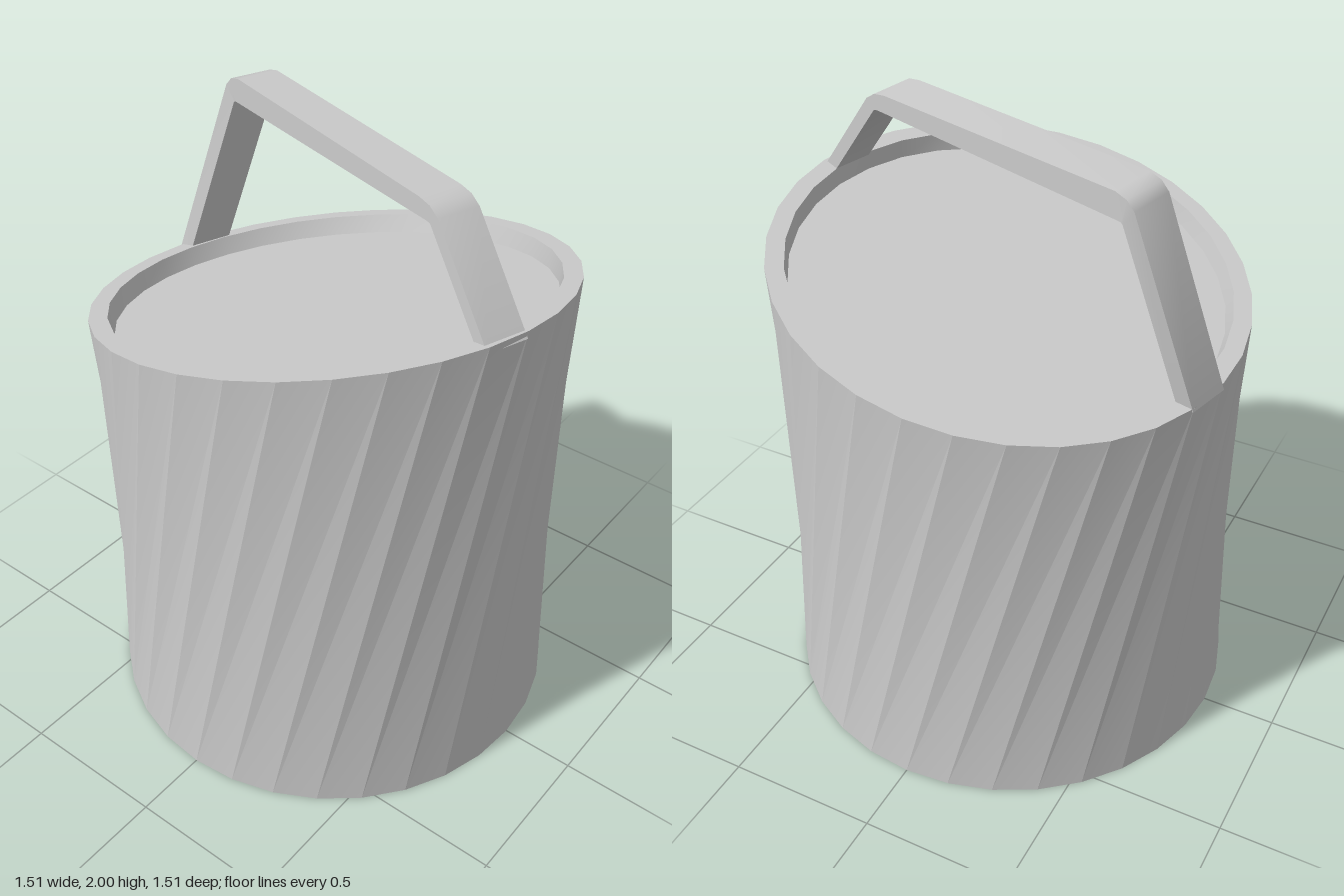
import * as THREE from 'three';
import { toCreasedNormals } from 'three/addons/utils/BufferGeometryUtils.js';

const V = (x, y, z) => new THREE.Vector3(x, y, z);

// Skin a closed surface over rings of equal point count, with fan caps.
function loft(rings) {
  const n = rings[0].length;
  const pos = [];
  const tri = (...pts) => pts.forEach((p) => pos.push(p.x, p.y, p.z));
  for (let i = 0; i < rings.length - 1; i++) {
    const lo = rings[i], hi = rings[i + 1];
    for (let j = 0; j < n; j++) {
      const k = (j + 1) % n;
      tri(lo[j], lo[k], hi[k]);
      tri(lo[j], hi[k], hi[j]);
    }
  }
  const first = rings[0], last = rings[rings.length - 1];
  for (let j = 1; j < n - 1; j++) {
    tri(first[0], first[j + 1], first[j]);
    tri(last[0], last[j], last[j + 1]);
  }
  const geo = new THREE.BufferGeometry();
  geo.setAttribute('position', new THREE.Float32BufferAttribute(pos, 3));
  geo.computeVertexNormals();
  return toCreasedNormals(geo, 0.65);
}

// Circle of points around a centre, facing along a normal.
function circle(radius, centre, normal, turn, sides = 32) {
  const q = new THREE.Quaternion().setFromUnitVectors(V(0, 1, 0), normal);
  return Array.from({ length: sides }, (_, i) => {
    const t = (i / sides) * Math.PI * 2 + turn;
    return V(Math.sin(t) * radius, 0, Math.cos(t) * radius).applyQuaternion(q).add(centre);
  });
}

export function createModel() {
  const group = new THREE.Group();
  const material = new THREE.MeshStandardMaterial({ color: 0xcccccc });
  const add = (name, geo) => {
    const mesh = new THREE.Mesh(geo, material);
    mesh.name = name;
    group.add(mesh);
  };

  // Twisted body with a slanted rim and a shallow recessed top
  const twist = THREE.MathUtils.degToRad(27);
  const up = V(0, 1, 0);
  const slant = V(0.113, 1, -0.214).normalize();
  const top = V(0, 1.522, 0);
  const recess = top.clone().addScaledVector(slant, -0.06);
  add('body', loft([
    circle(0.755, V(0, 0, 0), up, 0),
    circle(0.755, top, slant, twist),
    circle(0.697, top, slant, twist),
    circle(0.685, recess, slant, twist),
  ]));

  // Strap handle: [outer z, outer y, inner z, inner y] from front rim to back rim
  const stations = [
    [0.715, 1.67, 0.675, 1.655],
    [0.49, 1.97, 0.46, 1.94],
    [0.455, 1.993, 0.455, 1.942],
    [0.41, 2.0, 0.44, 1.943],
    [-0.47, 2.0, -0.49, 1.918],
    [-0.51, 1.988, -0.495, 1.916],
    [-0.535, 1.96, -0.5, 1.912],
    [-0.72, 1.34, -0.67, 1.345],
  ];
  // The back leg bends sideways towards the rim
  const xAt = (z) => (z > -0.53 ? 0.066 - 0.31 * z : 0.23 + 0.37 * (z + 0.53));
  const half = V(0.07, -0.004, 0.02);
  add('handle', loft(stations.map(([oz, oy, iz, iy], k) => {
    const o = V(xAt(oz), oy, oz);
    const i = V(k === 7 ? o.x : xAt(iz), iy, iz);
    return [o.clone().sub(half), o.clone().add(half), i.clone().add(half), i.clone().sub(half)];
  })));

  return group;
}
